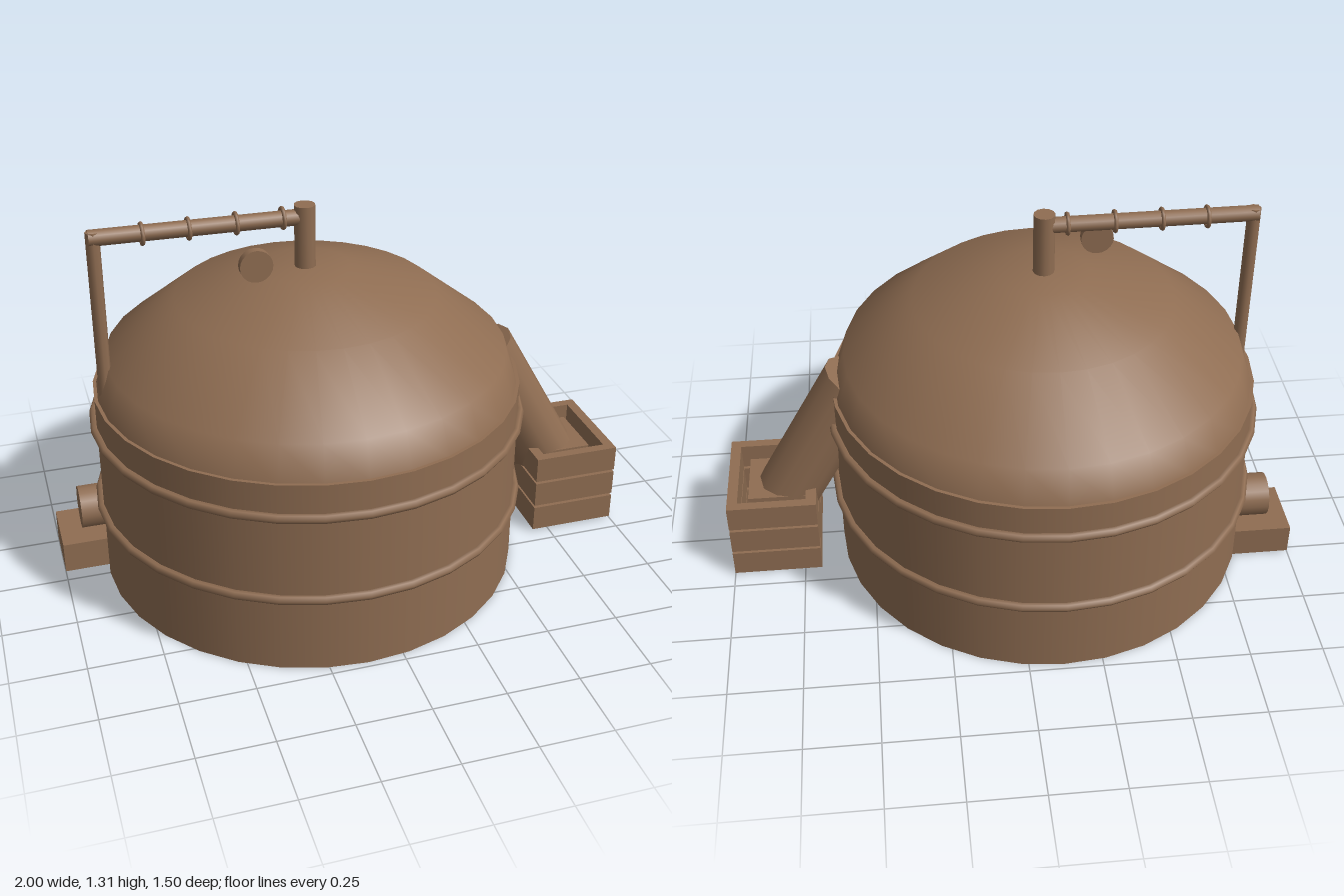
import * as THREE from 'three';

const brown = new THREE.MeshStandardMaterial({ color: 0x8f6d52 });
brown.name = 'weathered brown';

export function createModel() {
  const model = new THREE.Group();
  model.name = 'storageTank';
  const cx = -0.12; // tank axis

  function add(name, geometry, x = 0, y = 0, z = 0, parent = model) {
    const mesh = new THREE.Mesh(geometry, brown);
    mesh.name = name;
    mesh.position.set(x, y, z);
    parent.add(mesh);
    return mesh;
  }
  const box = (name, w, h, d, x, y, z, parent) =>
    add(name, new THREE.BoxGeometry(w, h, d), x, y, z, parent);

  // Cylinder running between two points
  function pipe(name, a, b, r, sides) {
    const from = new THREE.Vector3(...a), to = new THREE.Vector3(...b);
    const dir = to.clone().sub(from);
    const mesh = add(name, new THREE.CylinderGeometry(r, r, dir.length(), sides));
    mesh.position.copy(from).add(to).multiplyScalar(0.5);
    mesh.quaternion.setFromUnitVectors(new THREE.Vector3(0, 1, 0), dir.normalize());
    return mesh;
  }

  // Tank wall and domed roof
  add('tankBody', new THREE.CylinderGeometry(0.73, 0.73, 0.695, 32), cx, 0.3475, 0);
  const roof = [[0.72, 0.69], [0.68, 0.81], [0.44, 1.0], [0.15, 1.095], [0, 1.097]]
    .map(([r, y]) => new THREE.Vector2(r, y));
  add('domeRoof', new THREE.LatheGeometry(roof, 32), cx, 0, 0);

  // Reinforcing hoops
  for (const y of [0.275, 0.58]) {
    add('hoop', new THREE.TorusGeometry(0.735, 0.016, 6, 32), cx, y, 0).rotation.x = Math.PI / 2;
  }

  // Overhead pipework with collars
  pipe('ventPipe', [cx, 1.05, 0], [cx, 1.31, 0], 0.036, 12);
  pipe('crossPipe', [-0.825, 1.275, 0], [cx, 1.268, 0], 0.027, 10);
  pipe('downPipe', [-0.81, 0.68, 0], [-0.81, 1.295, 0], 0.023, 8);
  for (const x of [-0.655, -0.505, -0.35, -0.195]) {
    add('pipeCollar', new THREE.TorusGeometry(0.033, 0.007, 6, 14), x, 1.271, 0).rotation.y = Math.PI / 2;
  }

  // Round gauge above the roof
  pipe('gauge', [-0.31, 1.158, 0.08], [-0.31, 1.158, 0.108], 0.055, 20);

  // Sloping discharge chute
  pipe('chute', [0.525, 0.7, 0], [0.79, 0.235, 0], 0.115, 12);

  // Slatted open crate below the chute, with its load
  const crate = new THREE.Group();
  crate.name = 'crate';
  model.add(crate);
  for (const y of [0.053, 0.156, 0.259]) {
    for (const s of [-1, 1]) {
      box('crateLongSlat', 0.31, 0.093, 0.034, 0.845, y, s * 0.173, crate);
      box('crateEndSlat', 0.036, 0.093, 0.312, 0.845 + s * 0.137, y, 0, crate);
    }
  }
  box('crateLoad', 0.22, 0.065, 0.22, 0.82, 0.25, 0, crate);

  // Pump on its plinth at the tank's right side
  box('pumpBase', 0.25, 0.11, 0.225, -0.875, 0.06, -0.158);
  pipe('pumpMotor', [-0.922, 0.192, -0.158], [-0.76, 0.192, -0.158], 0.076, 16);

  return model;
}
